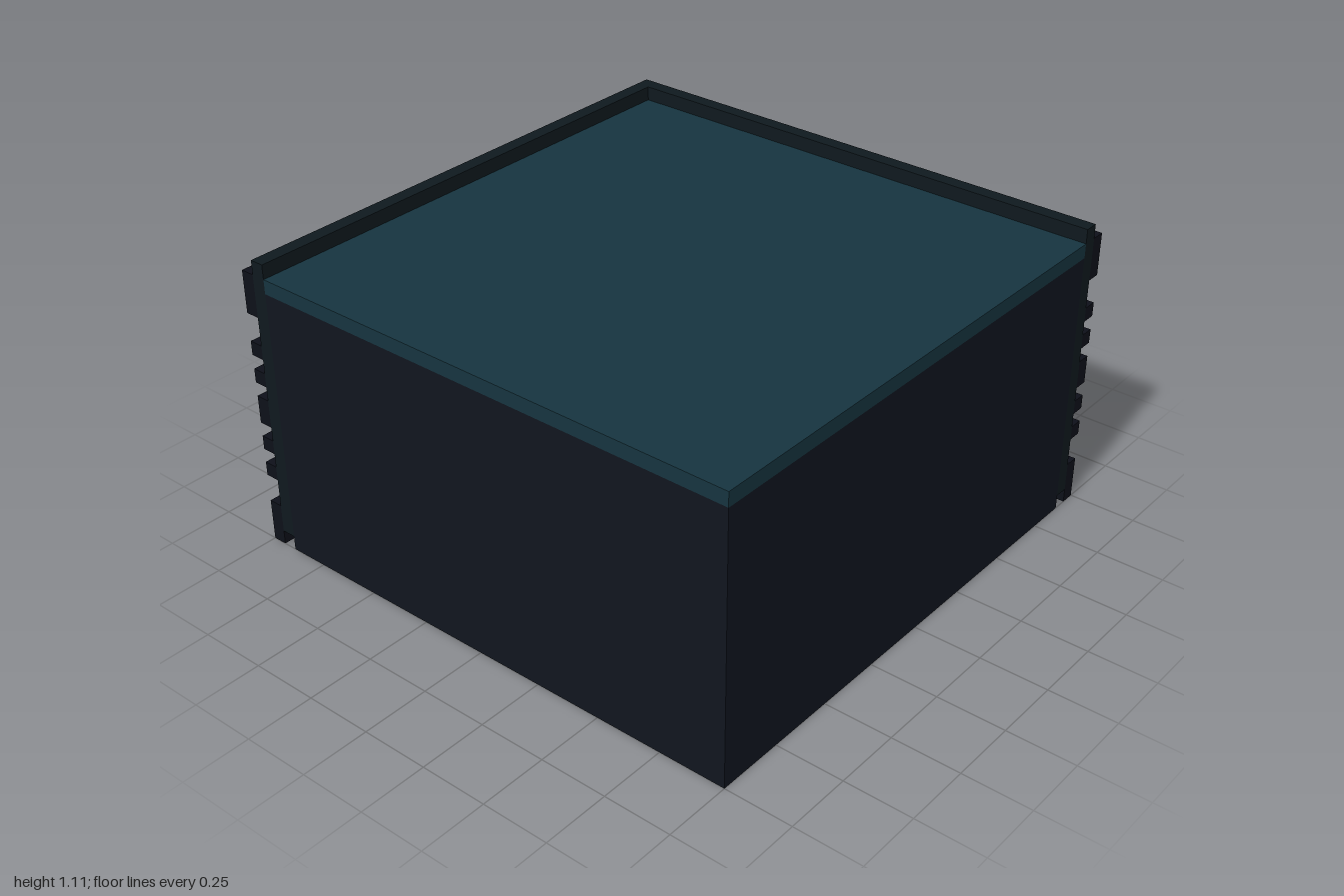
import * as THREE from 'three';

// The block is laid out on a grid 38 units wide and 21 units high
const U = 2 / 38;
const mat = (color) => new THREE.MeshStandardMaterial({ color });
const bodyMat = mat(0x10151f);
const topMat = mat(0x16343f);
const backingMat = mat(0x0f191e);
const carvedMat = mat(0x0d1019);

// Box given by its lower and upper corners
function box(name, a, b, material) {
  const size = a.map((v, i) => b[i] - v);
  const mesh = new THREE.Mesh(new THREE.BoxGeometry(...size), material);
  mesh.position.set(...a.map((v, i) => (v + b[i]) / 2));
  mesh.name = name;
  return mesh;
}

const toPoints = (list) => list.map(([x, y]) => new THREE.Vector2(x, y));

function plate(name, outline, holes = []) {
  const shape = new THREE.Shape(toPoints(outline));
  for (const h of holes) shape.holes.push(new THREE.Path(toPoints(h)));
  const geo = new THREE.ExtrudeGeometry(shape, { depth: 1, bevelEnabled: false });
  const mesh = new THREE.Mesh(geo, carvedMat);
  mesh.name = name;
  return mesh;
}

// Band with a stepped channel: narrow teeth on one side, wide ones on the other
function steppedBand(name, length, mirrored) {
  const pts = [[0, 0], [length, 0], [length, 6], [0, 6], [0, 5], [1, 5], [1, 4]];
  for (let s = 7; s <= 35; s += 7) pts.push([s, 4], [s, 5], [s + 1, 5], [s + 1, 4]);
  pts.push([36, 3]);
  for (let s = 28; s >= 0; s -= 7) pts.push([s + 6, 3], [s + 6, 2], [s + 2, 2], [s + 2, 3]);
  pts.push([0, 3]);
  return plate(name, mirrored ? pts.map(([x, y]) => [x, 20 - y]) : pts);
}

// Middle band with alternating wide and narrow sunken panels, each with a plaque
function panelBand(length) {
  const group = new THREE.Group();
  group.name = 'panelBand';
  const panels = [[3, 9], [10, 14], [15, 21], [22, 26], [27, 33]];
  const outline = [
    [0, 7], [length, 7], [length, 8], [34, 8], [34, 12], [length, 12],
    [length, 13], [0, 13], [0, 12], [2, 12], [2, 8], [0, 8],
  ];
  const holes = panels.map(([a, b]) => [[a, 8], [a, 12], [b, 12], [b, 8]]);
  group.add(plate('panelFrame', outline, holes));
  const plaques = [[0, 1], ...panels.map(([a, b]) => [a + 1, b - 1]), [35, length]];
  for (const [a, b] of plaques) group.add(box('plaque', [a, 9, 0], [b, 11, 1], carvedMat));
  return group;
}

function carvedWall(name, length) {
  const wall = new THREE.Group();
  wall.name = name;
  wall.add(
    steppedBand('lowerBand', length, false),
    panelBand(length),
    steppedBand('upperBand', length, true),
  );
  return wall;
}

export function createModel() {
  const model = new THREE.Group();
  model.name = 'carvedBlock';
  const block = new THREE.Group();
  block.name = 'block';
  block.scale.setScalar(U);
  model.add(block);

  // Solid core and its coloured top slab
  block.add(box('body', [-19, 0, -17], [17, 19, 19], bodyMat));
  block.add(box('topSlab', [-19, 19, -17], [17, 20, 19], topMat));

  // Backing panels, raised above the slab to form a lip
  block.add(box('leftBacking', [17, 1, -18], [18, 21, 19], backingMat));
  block.add(box('backBacking', [-19, 1, -18], [17, 21, -17], backingMat));

  // Carved outer layers, meeting at the corner
  const left = carvedWall('leftCarving', 38);
  left.rotation.y = Math.PI / 2;
  left.position.set(18, 0, 19);
  const back = carvedWall('backCarving', 37);
  back.position.set(-19, 0, -19);
  block.add(left, back);

  return model;
}
